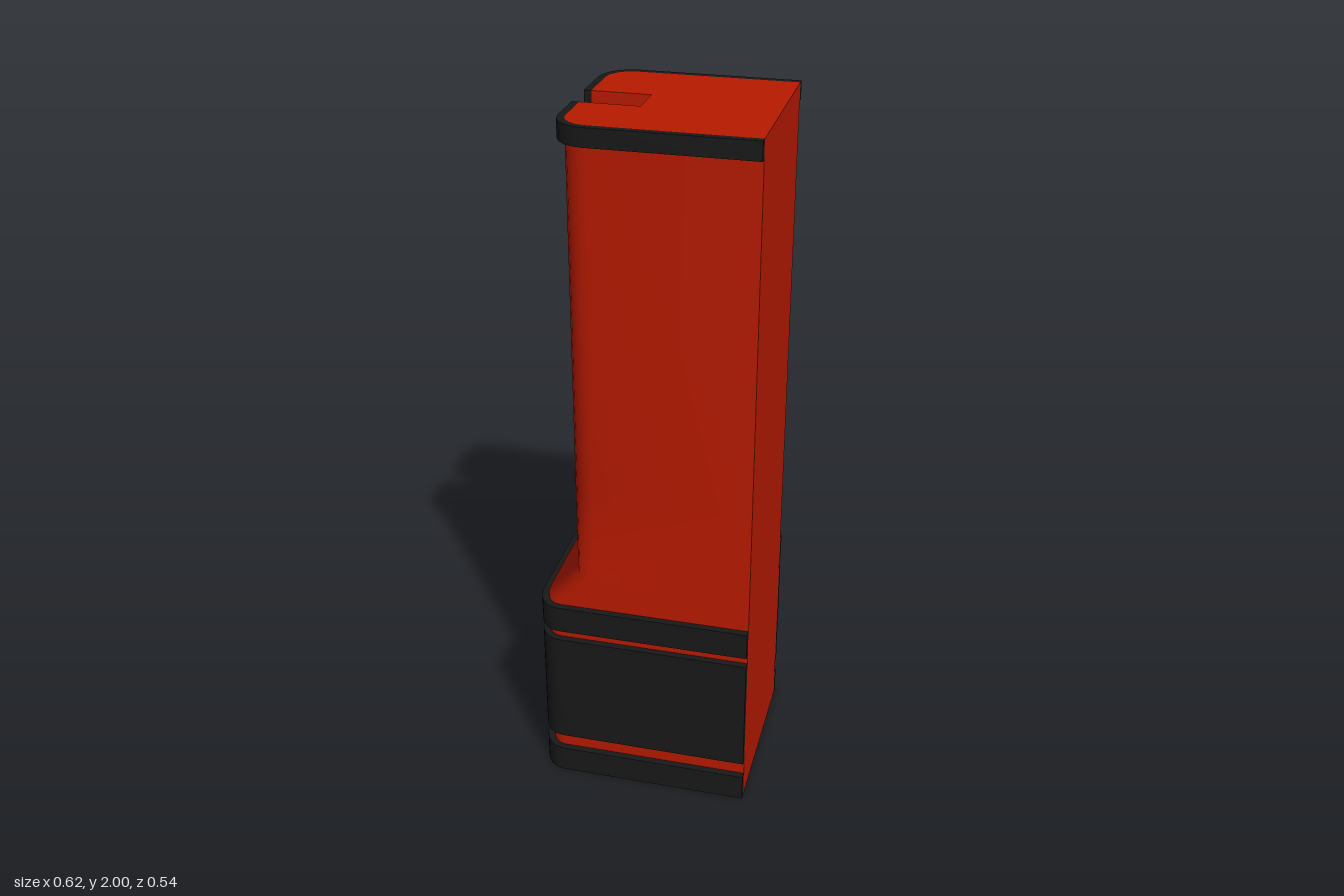
import * as THREE from 'three';
import { toCreasedNormals } from 'three/addons/utils/BufferGeometryUtils.js';

const RED = new THREE.MeshStandardMaterial({ color: 0xb81a00 });
const BLACK = new THREE.MeshStandardMaterial({ color: 0x191919 });
const FLAT_X = 0.31; // flat mounting face
const SLOT = { x: -0.04, z0: -0.044, z1: 0.062, floor: 0.955 };
const CREASE = 0.9;

// Plan outlines are [x, z]. One side from the rounded corner to the flat face.
function side(sign, x0, hz, rx, rz) {
  const pts = [];
  for (let i = 0; i <= 5; i++) {
    const a = (i / 5) * Math.PI / 2;
    pts.push([x0 + rx * (1 - Math.cos(a)), sign * (hz - rz * (1 - Math.sin(a)))]);
  }
  pts.push([FLAT_X, sign * hz]);
  return pts;
}

// Open U: flat face at +z, round the -x end, back to the flat face at -z
function uPath(...dims) {
  return [...side(1, ...dims).reverse(), ...side(-1, ...dims)];
}

const LOWER = [-0.29, 0.25, 0.05, 0.07];
const UPPER = [-0.2, 0.25, 0.07, 0.07];
const LOWER_OUT = [-0.31, 0.27, 0.07, 0.09];
const UPPER_OUT = [-0.22, 0.27, 0.09, 0.09];

// Vertical extrusion of a plan outline
function prism(name, pts, y0, y1, material) {
  const shape = new THREE.Shape(pts.map(([x, z]) => new THREE.Vector2(x, -z)));
  const geo = new THREE.ExtrudeGeometry(shape, { depth: y1 - y0, bevelEnabled: false });
  geo.rotateX(-Math.PI / 2).translate(0, y0, 0);
  const mesh = new THREE.Mesh(toCreasedNormals(geo, CREASE), material);
  mesh.name = name;
  return mesh;
}

// Skin stacked outlines of equal point count, with end caps
function loft(name, rings, material) {
  const n = rings[0].pts.length;
  const pos = [], idx = [];
  for (const { pts, y } of rings) for (const [x, z] of pts) pos.push(x, y, z);
  for (let r = 0; r < rings.length - 1; r++) {
    for (let i = 0; i < n; i++) {
      const a = r * n + i, b = r * n + (i + 1) % n;
      idx.push(a, a + n, b, b, a + n, b + n);
    }
  }
  const top = (rings.length - 1) * n;
  for (let i = 1; i < n - 1; i++) {
    idx.push(0, i, i + 1, top, top + i + 1, top + i);
  }
  const geo = new THREE.BufferGeometry();
  geo.setAttribute('position', new THREE.Float32BufferAttribute(pos, 3));
  geo.setIndex(idx);
  const mesh = new THREE.Mesh(toCreasedNormals(geo, CREASE), material);
  mesh.name = name;
  return mesh;
}

export function createModel() {
  const group = new THREE.Group();
  group.name = 'housing';

  // Wide base, sloped shoulder and solid start of the column
  group.add(loft('lowerBody', [
    { pts: uPath(...LOWER), y: 0 },
    { pts: uPath(...LOWER), y: 0.6 },
    { pts: uPath(...UPPER), y: 0.69 },
    { pts: uPath(...UPPER), y: SLOT.floor },
  ], RED));

  // Column with the vertical slot
  const notch = [
    [UPPER[0], SLOT.z1], [SLOT.x, SLOT.z1], [SLOT.x, SLOT.z0], [UPPER[0], SLOT.z0],
  ];
  group.add(prism('slottedColumn',
    [...side(1, ...UPPER).reverse(), ...notch, ...side(-1, ...UPPER)], SLOT.floor, 2, RED));

  // Bands wrapped around the base
  const bandPlan = [...uPath(...LOWER_OUT), ...uPath(...LOWER).reverse()];
  const bands = [['bottomBand', 0, 0.08], ['gripBand', 0.13, 0.48], ['shoulderBand', 0.51, 0.59]];
  for (const [name, y0, y1] of bands) group.add(prism(name, bandPlan, y0, y1, BLACK));

  // Top rim, split by the slot
  for (const [sign, z, name] of [[1, SLOT.z1, 'rimFront'], [-1, SLOT.z0, 'rimBack']]) {
    group.add(prism(name, [
      [UPPER_OUT[0], z], ...side(sign, ...UPPER_OUT),
      ...side(sign, ...UPPER).reverse(), [UPPER[0], z],
    ], 1.95, 2, BLACK));
  }
  return group;
}
